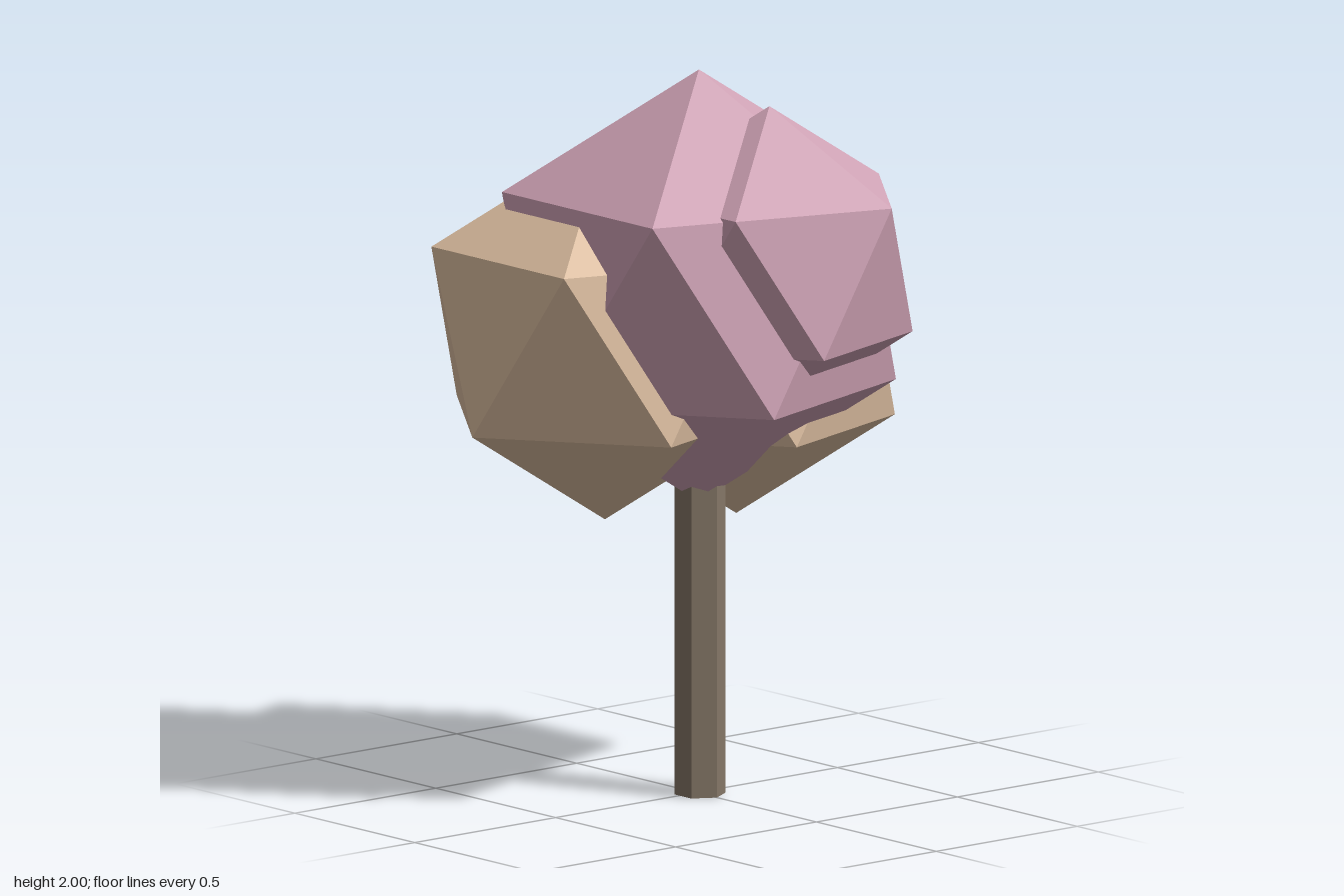
import * as THREE from 'three';

const PHI = (1 + Math.sqrt(5)) / 2;

function flat(color) {
  return new THREE.MeshStandardMaterial({ color, flatShading: true });
}

// Icosahedron standing on a corner, with one upper-ring corner pointing to +x
function foliage(name, radius, x, y, z, material) {
  const geometry = new THREE.IcosahedronGeometry(radius, 0);
  geometry.rotateZ(-Math.atan(1 / PHI));
  const mesh = new THREE.Mesh(geometry, material);
  mesh.name = name;
  mesh.position.set(x, y, z);
  return mesh;
}

export function createModel() {
  const tree = new THREE.Group();
  tree.name = 'tree';

  const bark = flat(0x857767);
  const pink = flat(0xcfa2b5);
  const tan = flat(0xdfc0a2);

  // Hexagonal trunk, running up into the crown
  const trunkHeight = 1.2;
  const trunk = new THREE.Mesh(new THREE.CylinderGeometry(0.07, 0.07, trunkHeight, 6), bark);
  trunk.name = 'trunk';
  trunk.position.set(0, trunkHeight / 2, 0.015);
  tree.add(trunk);

  // Overlapping foliage clumps
  tree.add(
    foliage('crownFoliage', 0.597, 0, 1.403, 0.01, pink),
    foliage('frontFoliage', 0.434, 0.08, 1.486, 0.21, pink),
    foliage('rightFoliage', 0.526, -0.2, 1.285, -0.147, tan),
    foliage('leftFoliage', 0.481, 0.23, 1.205, -0.105, tan)
  );

  return tree;
}
